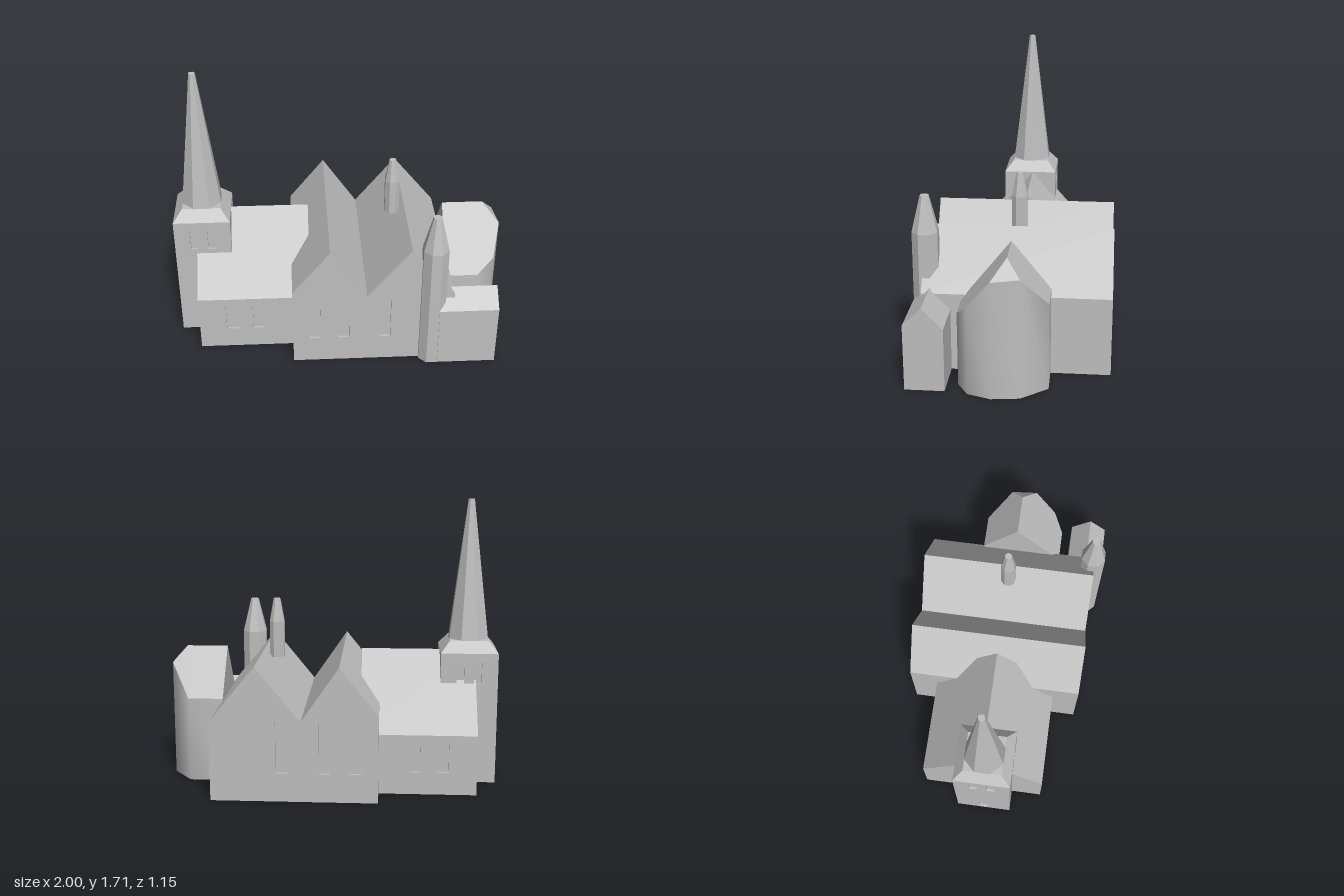
import * as THREE from 'three';

const stone = new THREE.MeshStandardMaterial({ color: 0xbfbfbf });
stone.name = 'grey stone';
const RECESS = 0.015;

export function createModel() {
  const model = new THREE.Group();
  model.name = 'church';

  const add = (name, geometry, x = 0, y = 0, z = 0, ry = 0) => {
    const mesh = new THREE.Mesh(geometry, stone);
    mesh.name = name;
    mesh.position.set(x, y, z);
    mesh.rotation.y = ry;
    model.add(mesh);
    return mesh;
  };

  // outline extruded along +z, with optional window openings [x0, x1, y0, y1]
  const slab = (points, depth, openings = []) => {
    const shape = new THREE.Shape(points.map(([x, y]) => new THREE.Vector2(x, y)));
    for (const [x0, x1, y0, y1] of openings) {
      shape.holes.push(new THREE.Path([[x0, y0], [x0, y1], [x1, y1], [x1, y0]]
        .map(([x, y]) => new THREE.Vector2(x, y))));
    }
    return new THREE.ExtrudeGeometry(shape, { depth, bevelEnabled: false });
  };
  const rect = (x0, x1, y0, y1) => [[x0, y0], [x1, y0], [x1, y1], [x0, y1]];

  // faceted prism or frustum with flats facing the axes; r is the half-width
  const prism = (name, sides, rTop, rBottom, y0, y1, x, z) => {
    const k = 1 / Math.cos(Math.PI / sides);
    const g = new THREE.CylinderGeometry(rTop * k, rBottom * k, y1 - y0, sides)
      .rotateY(Math.PI / sides).toNonIndexed();
    g.computeVertexNormals();
    return add(name, g, x, (y0 + y1) / 2, z);
  };

  // Double-gabled transept with recessed windows front and back
  const gables = [[-0.295, 0], [0.675, 0], [0.675, 0.47], [0.41, 0.795],
    [0.15, 0.475], [-0.07, 0.795], [-0.295, 0.515]];
  const tall = [[-0.2, -0.13], [-0.02, 0.045], [0.225, 0.295]].map(([a, b]) => [a, b, 0.17, 0.475]);
  const zBack = -0.575, zFront = 0.51;
  add('transeptBody', slab(gables, zFront - zBack - 2 * RECESS), 0, 0, zBack + RECESS);
  add('transeptFrontWall', slab(gables, RECESS, tall), 0, 0, zFront - RECESS);
  add('transeptBackWall', slab(gables, RECESS, tall), 0, 0, zBack);

  // Nave: gabled section running along x, walls set in under the eaves
  const sill = 0.345;
  const naveSection = [[-0.41 + RECESS, 0], [0.35 - RECESS, 0], [0.35 - RECESS, sill], [0.35, sill],
    [0.35, 0.36], [-0.025, 0.795], [-0.41, 0.36], [-0.41, sill], [-0.41 + RECESS, sill]];
  // mirrored in the outline because the quarter turn sends +x to -z
  add('naveBody', slab(naveSection.map(([z, y]) => [-z, y]), 0.685), -0.87, 0, 0, Math.PI / 2);
  const low = [[-0.705, -0.635], [-0.54, -0.47]].map(([a, b]) => [a, b, 0.135, 0.31]);
  for (const [name, z] of [['naveFrontWall', 0.35 - RECESS], ['naveBackWall', -0.41]]) {
    add(name, slab(rect(-0.87, -0.2, 0, sill), RECESS, low), 0, 0, z);
  }

  // Tower with paired belfry openings on three sides and a west door
  const tx = -0.829, tz = -0.01, half = 0.171;
  add('towerBody', new THREE.BoxGeometry(2 * half - RECESS, 0.8, 2 * (half - RECESS)),
    tx + RECESS / 2, 0.4, tz);
  const belfry = [[-0.075, -0.03, 0.61, 0.745], [0.03, 0.075, 0.61, 0.745]];
  const face = rect(-half, half, 0, 0.8);
  add('towerFrontWall', slab(face, RECESS, belfry), tx, 0, tz + half - RECESS);
  add('towerBackWall', slab(face, RECESS, belfry), tx, 0, tz - half);
  const inner = half - RECESS;
  add('towerWestWall', slab(rect(-inner, inner, 0, 0.8), RECESS, [...belfry, [-0.03, 0.03, 0.02, 0.16]]),
    tx - half + RECESS, 0, tz, -Math.PI / 2);
  prism('towerRoof', 4, 0.115, half, 0.8, 0.868, tx, tz);
  prism('spire', 8, 0.018, 0.117, 0.865, 1.705, tx, tz);

  // Stair turret at the front corner
  prism('turretShaft', 8, 0.074, 0.074, 0, 0.8, 0.545, 0.497);
  prism('turretCap', 8, 0.024, 0.074, 0.8, 1.015, 0.545, 0.497);

  // Small ridge turret
  prism('ridgeTurretShaft', 8, 0.044, 0.044, 0.74, 0.96, 0.337, -0.025);
  prism('ridgeTurretCap', 8, 0.02, 0.044, 0.96, 1.1, 0.337, -0.025);

  // Low gabled annex
  const annex = [[-0.57, 0], [-0.343, 0], [-0.343, 0.375], [-0.463, 0.495], [-0.57, 0.39]];
  add('annex', slab(annex, 0.355), 0.58, 0, 0, Math.PI / 2);

  // Apse: rounded smooth wall whose top follows the roof slopes
  const ridge = -0.005;
  const top = (z) => 0.795 - 1.25 * Math.abs(z - ridge);
  const plan = [[0.65, 0.28], [0.85, 0.28], [0.955, 0.215], [1, 0.08],
    [0.98, -0.08], [0.86, -0.23], [0.65, -0.23]];
  const wallPos = [], wallIdx = [];
  plan.forEach(([x, z], i) => {
    wallPos.push(x, 0, z, x, top(z), z);
    const a = 2 * i;
    if (i < plan.length - 1) wallIdx.push(a, a + 2, a + 1, a + 1, a + 2, a + 3);
  });
  const wall = new THREE.BufferGeometry();
  wall.setAttribute('position', new THREE.Float32BufferAttribute(wallPos, 3));
  wall.setIndex(wallIdx);
  wall.computeVertexNormals();
  add('apseWall', wall);

  // Apse roof, west end and floor as flat fans
  const eave = plan.map(([x, z]) => [x, top(z), z]);
  const r0 = [0.65, 0.795, ridge], r1 = [0.9, 0.795, ridge];
  const fan = (pts) => {
    const out = [];
    for (let i = 1; i < pts.length - 1; i++) out.push(...pts[0], ...pts[i], ...pts[i + 1]);
    return out;
  };
  const flat = (name, pos) => {
    const g = new THREE.BufferGeometry();
    g.setAttribute('position', new THREE.Float32BufferAttribute(pos, 3));
    g.computeVertexNormals();
    add(name, g);
  };
  flat('apseRoof', [
    ...fan([r1, r0, ...eave.slice(0, 4)]),
    ...fan([r1, eave[3], eave[4]]),
    ...fan([r1, ...eave.slice(4), r0]),
  ]);
  flat('apseWestEnd', fan([r0, eave[6], [0.65, 0, -0.23], [0.65, 0, 0.28], eave[0]]));
  flat('apseFloor', fan(plan.map(([x, z]) => [x, 0, z]).reverse()));

  return model;
}
